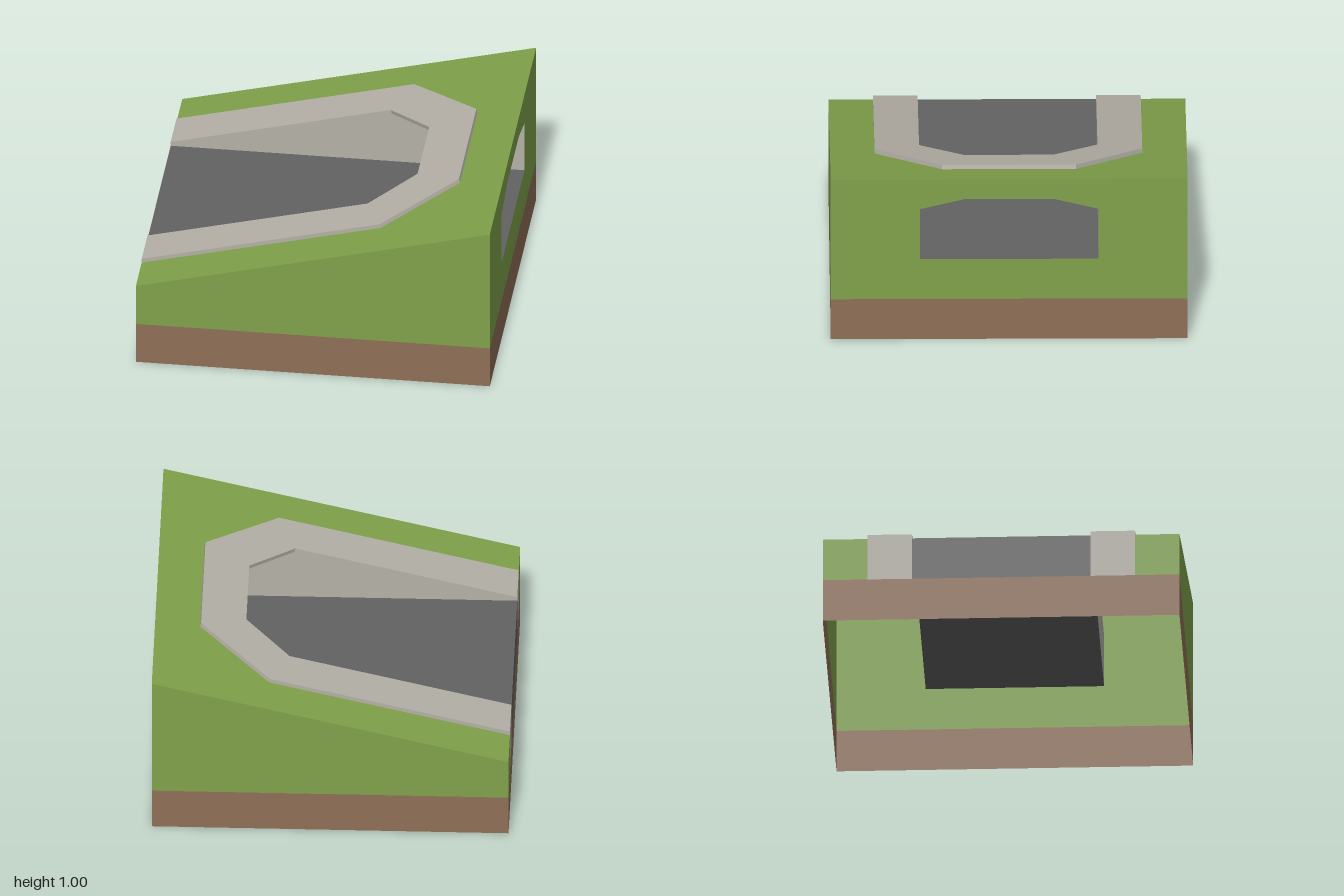
import * as THREE from 'three';

const paint = (name, color) => {
  const m = new THREE.MeshStandardMaterial({ color, side: THREE.DoubleSide, flatShading: true });
  m.name = name;
  return m;
};

// Height of the hillside at a given x
const slope = (x) => 0.75 + 0.25 * x;

export function createModel() {
  const group = new THREE.Group();
  const grass = paint('grass green', 0x80a24a);
  const earth = paint('earth brown', 0x8f6f57);
  const stone = paint('pale stone', 0xb5b1a8);
  const road = paint('road grey', 0x626262);

  const add = (name, geometry, material) => {
    const mesh = new THREE.Mesh(geometry, material);
    mesh.name = name;
    group.add(mesh);
  };

  // Flat outline, placed in space by a rule
  const face = (name, material, outline, place, hole) => {
    const toPoints = (list) => list.map(([a, b]) => new THREE.Vector2(a, b));
    const shape = new THREE.Shape(toPoints(outline));
    if (hole) shape.holes.push(new THREE.Path(toPoints(hole)));
    const geometry = new THREE.ShapeGeometry(shape);
    const p = geometry.attributes.position;
    for (let i = 0; i < p.count; i++) p.setXYZ(i, ...place(p.getX(i), p.getY(i)));
    geometry.computeVertexNormals();
    add(name, geometry, material);
  };

  // Flat quads between two matching lines of points
  const strip = (name, material, a, b) => {
    const points = [];
    for (let i = 0; i < a.length - 1; i++) {
      points.push(a[i], a[i + 1], b[i], a[i + 1], b[i + 1], b[i]);
    }
    const geometry = new THREE.BufferGeometry();
    geometry.setAttribute('position', new THREE.Float32BufferAttribute(points.flat(), 3));
    geometry.computeVertexNormals();
    add(name, geometry, material);
  };

  const rect = (a0, a1, b0, b1) => [[a0, b0], [a1, b0], [a1, b1], [a0, b1]];
  const mirrored = (half) => [...half, ...half.map(([a, b]) => [a, -b]).reverse()];

  const front = (a, b) => [a, b, 1];
  const back = (a, b) => [-a, b, -1];
  const right = (a, b) => [-1, b, a];
  const left = (a, b) => [1, b, -a];

  // Earth skirt around the open base
  [['front', front], ['back', back], ['right', right], ['left', left]].forEach(([side, place]) =>
    face(side + 'Earth', earth, rect(-1, 1, 0, 0.25), place));

  // Grass side walls
  face('frontGrass', grass, [[-1, 0.25], [1, 0.25], [1, 1], [-1, 0.5]], front);
  face('backGrass', grass, [[-1, 0.25], [1, 0.25], [1, 0.5], [-1, 1]], back);

  // Tall end wall with the tunnel opening
  const arch = [[-0.5, 0.5], [-0.5, 0.8125], [-0.25, 0.875], [0.25, 0.875], [0.5, 0.8125], [0.5, 0.5]];
  face('tallEndGrass', grass, rect(-1, 1, 0.25, 1), left, arch);

  // Low end wall: road in the middle, stone posts and grass on both sides
  face('roadEnd', road, rect(-0.5, 0.5, 0.25, 0.5), right);
  for (const s of [-1, 1]) {
    face('stonePost', stone, rect(Math.min(s * 0.5, s * 0.75), Math.max(s * 0.5, s * 0.75), 0.25, 0.525), right);
    face('lowEndGrass', grass, rect(Math.min(s * 0.75, s), Math.max(s * 0.75, s), 0.25, 0.5), right);
  }

  // Sloping grass around the stone border
  const outer = mirrored([[-1, 0.75], [0.35, 0.75], [0.75, 0.375]]);
  const inner = mirrored([[-1, 0.5], [0.25, 0.5], [0.5, 0.25]]);
  face('slopeGrass', grass, [[-1, 1], ...outer, [-1, -1], [1, -1], [1, 1]], (a, b) => [a, slope(a), -b]);

  // Raised stone border, lifted square to the slope
  const onSlope = (list) => list.map(([x, z]) => [x, slope(x), z]);
  const lifted = (list) => list.map(([x, z]) =>
    x === -1 ? [x, 0.525, z] : [x - 0.006, slope(x) + 0.024, z]);
  strip('borderTop', stone, lifted(outer), lifted(inner));
  strip('borderOuterEdge', stone, onSlope(outer), lifted(outer));
  strip('borderInnerEdge', stone, lifted(inner), onSlope(inner));

  // Tunnel walls and ceiling, from the cut in the slope to the tall end
  strip('tunnelLining', stone, onSlope(inner), arch.map(([a, b]) => [1, b, -a]));

  // Road through the tunnel
  face('roadFloor', road, rect(-1, 1, -0.5, 0.5), (a, b) => [a, 0.5, -b]);

  return group;
}
